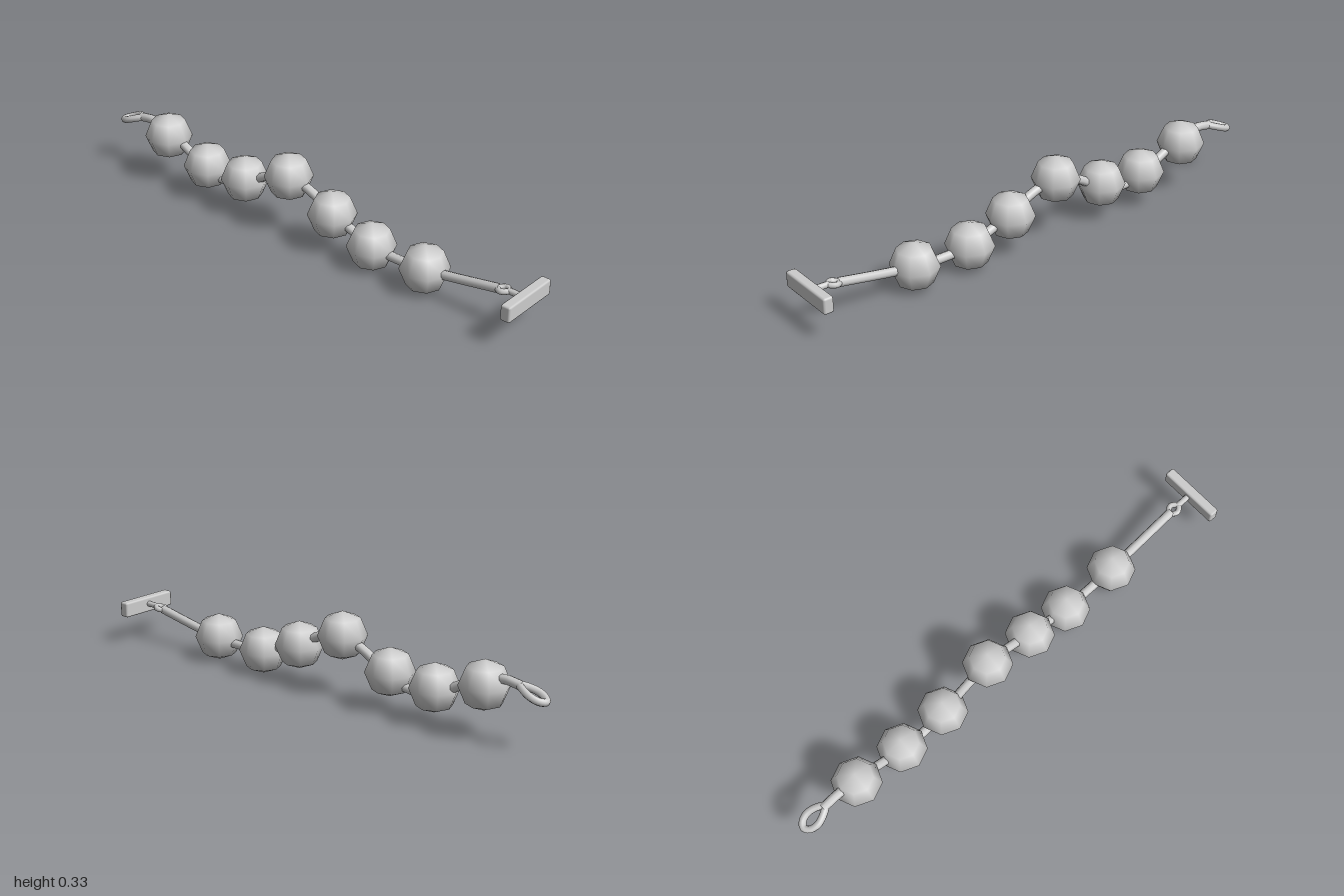
import * as THREE from 'three';
import { RoundedBoxGeometry } from 'three/addons/geometries/RoundedBoxGeometry.js';

const Z = -0.003;
const BEAD_RADIUS = 0.094;

export function createModel() {
  const model = new THREE.Group();
  const material = new THREE.MeshStandardMaterial({ color: 0xcccccc });

  function add(name, geometry, x = 0, y = 0, z = 0) {
    const mesh = new THREE.Mesh(geometry, material);
    mesh.name = name;
    mesh.position.set(x, y, z);
    model.add(mesh);
    return mesh;
  }

  function tube(name, points, radius, segments, closed = false) {
    const curve = new THREE.CatmullRomCurve3(
      points.map(([x, y, z = 0]) => new THREE.Vector3(x, y, z + Z)), closed);
    return add(name, new THREE.TubeGeometry(curve, segments, radius, 8, closed));
  }

  // Faceted round beads
  const beads = [
    [-0.735, 0.203], [-0.522, 0.142], [-0.32, 0.154], [-0.094, 0.243],
    [0.12, 0.16], [0.308, 0.098], [0.55, 0.1],
  ];
  const beadGeometry = new THREE.SphereGeometry(BEAD_RADIUS, 8, 4);
  beads.forEach(([x, y]) => add('bead', beadGeometry, x, y, Z));

  // Cord threaded through the beads
  tube('cord', [
    [-0.89, 0.234], [-0.82, 0.243], [-0.735, 0.225], [-0.64, 0.18],
    [-0.53, 0.125], [-0.42, 0.107], [-0.32, 0.135], [-0.21, 0.2],
    [-0.1, 0.24], [0.0, 0.222], [0.12, 0.165], [0.21, 0.128],
    [0.31, 0.095], [0.43, 0.087], [0.55, 0.093], [0.65, 0.107], [0.87, 0.146],
  ], 0.018, 64);

  // Teardrop clasp loop at one end
  tube('claspLoop', [
    [-0.985, 0.2, 0], [-0.972, 0.204, 0.02], [-0.94, 0.217, 0.029],
    [-0.9, 0.231, 0.016], [-0.88, 0.236, 0],
    [-0.9, 0.231, -0.016], [-0.94, 0.217, -0.029], [-0.972, 0.204, -0.02],
  ], 0.014, 28, true);

  // Small eye, neck and toggle bar at the other end
  tube('toggleEye', [
    [0.862, 0.145, 0], [0.885, 0.149, 0.019], [0.908, 0.151, 0], [0.885, 0.149, -0.019],
  ], 0.011, 20, true);
  tube('toggleNeck', [[0.905, 0.152], [0.97, 0.153]], 0.012, 2);
  add('toggleBar', new RoundedBoxGeometry(0.04, 0.062, 0.248, 1, 0.008), 0.977, 0.149, 0);

  return model;
}
